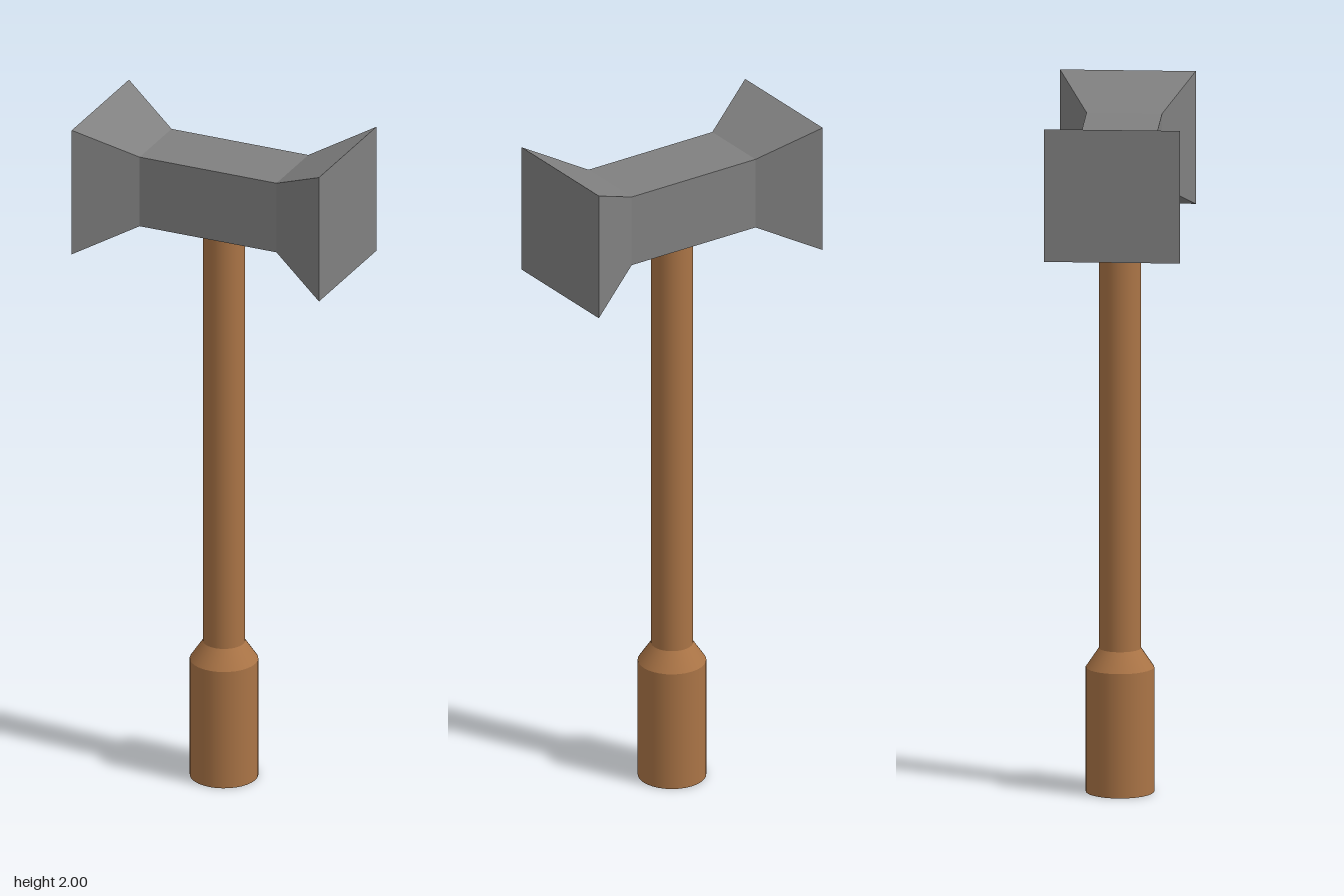
import * as THREE from 'three';

export function createModel() {
  const group = new THREE.Group();
  const steel = new THREE.MeshStandardMaterial({ color: 0x808080 });
  steel.name = 'grey steel';
  const wood = new THREE.MeshStandardMaterial({ color: 0xaa7446 });
  wood.name = 'brown wood';

  // Head: a square bar whose two ends flare out
  const box = new THREE.BoxGeometry(2, 2, 2, 3, 1, 1);
  const p = box.attributes.position;
  for (let i = 0; i < p.count; i++) {
    const atEnd = Math.abs(p.getX(i)) > 0.9;
    const half = atEnd ? 0.192 : 0.107;
    const x = Math.sign(p.getX(i)) * (atEnd ? 0.385 : 0.213);
    p.setXYZ(i, x, p.getY(i) * half, p.getZ(i) * half);
  }
  const headGeometry = box.toNonIndexed();
  headGeometry.computeVertexNormals();
  const head = new THREE.Mesh(headGeometry, steel);
  head.name = 'head';
  head.position.y = 1.808;
  group.add(head);

  // Handle sections: name, bottom y, top y, bottom radius, top radius, open ends
  const sections = [
    ['grip', 0, 0.36, 0.097, 0.097, false],
    ['gripShoulder', 0.36, 0.415, 0.097, 0.06, true],
    ['shaft', 0.415, 1.72, 0.06, 0.06, true],
  ];
  for (const [name, y0, y1, r0, r1, open] of sections) {
    const mesh = new THREE.Mesh(new THREE.CylinderGeometry(r1, r0, y1 - y0, 32, 1, open), wood);
    mesh.name = name;
    mesh.position.y = (y0 + y1) / 2;
    group.add(mesh);
  }
  return group;
}
